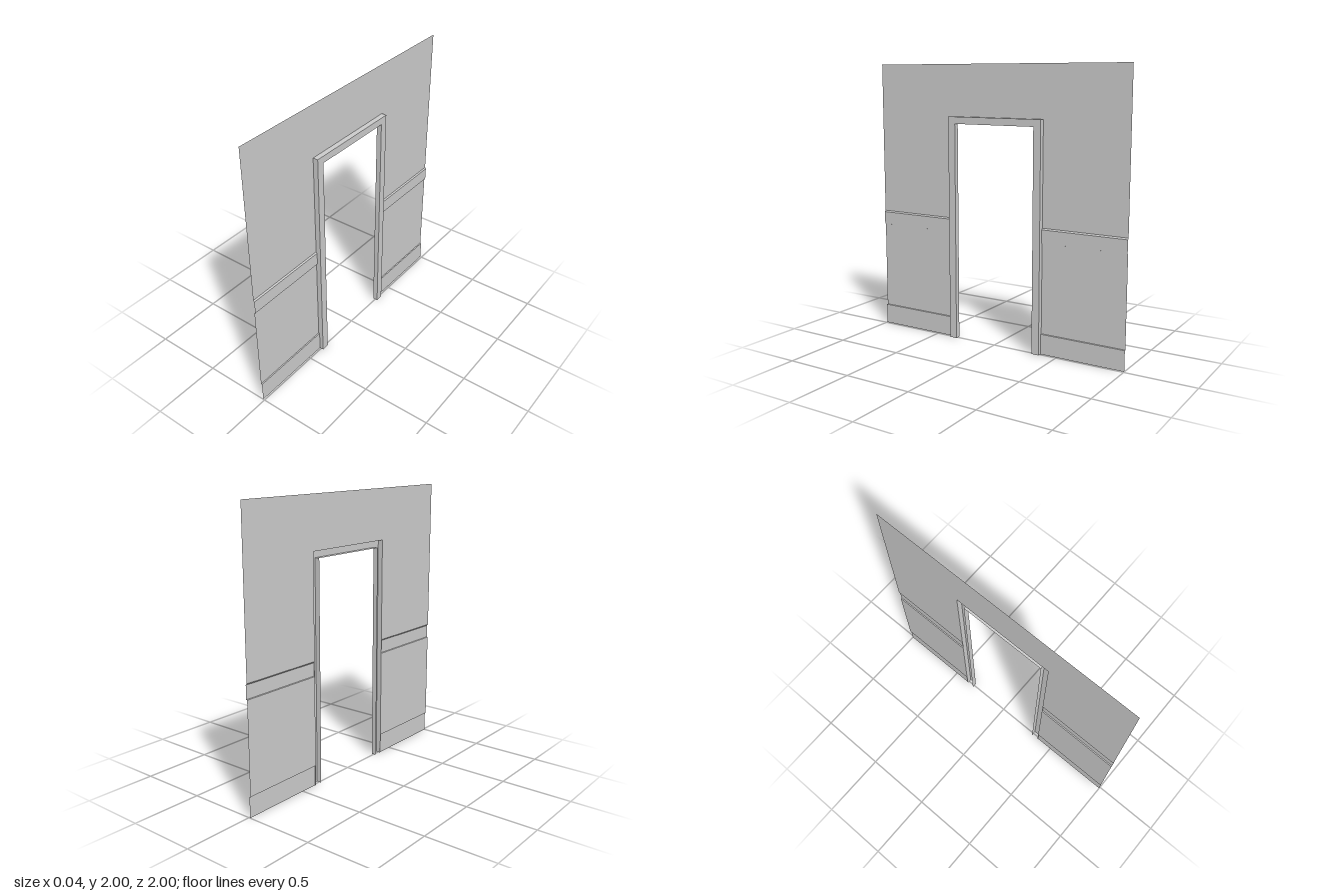
import * as THREE from 'three';

const BACK = -0.019, TRIM = -0.011, FRONT = 0.018;   // depths along x
const OPEN = 0.318, CASING = 0.374;                  // half widths of opening and casing
const HEAD = 1.582, CASING_TOP = 1.632;

const material = new THREE.MeshStandardMaterial({
  color: 0xcccccc, side: THREE.DoubleSide, flatShading: true,
});

// Open sheet joining successive rows of [x, y, z] points
function sheet(name, rows) {
  const points = [];
  for (let i = 0; i + 1 < rows.length; i++) {
    for (let j = 0; j + 1 < rows[i].length; j++) {
      const a = rows[i][j], b = rows[i][j + 1];
      const c = rows[i + 1][j + 1], d = rows[i + 1][j];
      points.push(...a, ...b, ...c, ...a, ...c, ...d);
    }
  }
  const geometry = new THREE.BufferGeometry();
  geometry.setAttribute('position', new THREE.Float32BufferAttribute(points, 3));
  geometry.computeVertexNormals();
  const mesh = new THREE.Mesh(geometry, material);
  mesh.name = name;
  return mesh;
}

// Extend a vertical [x, y] profile from z0 to z1
function panel(name, profile, z0, z1) {
  return sheet(name, [z0, z1].map((z) => profile.map(([x, y]) => [x, y, z])));
}

export function createModel() {
  const model = new THREE.Group();
  model.name = 'doorwayWall';

  // Side walls: baseboard and chair rail step out of a single sheet
  const wallProfile = [
    [TRIM, 0], [TRIM, 0.145], [BACK, 0.147],
    [BACK, 0.79], [TRIM, 0.792], [TRIM, 0.885], [BACK, 0.895],
    [BACK, CASING_TOP], [BACK, 2],
  ];
  model.add(panel('leftWall', wallProfile, CASING, 1));
  model.add(panel('rightWall', wallProfile, -1, -CASING));

  // Wall above the doorway
  model.add(panel('upperWall', [[BACK, CASING_TOP], [BACK, 2]], -CASING, CASING));

  // Door casing: a channel, open at the back, mitred around the opening
  const channel = [
    [BACK, CASING, CASING_TOP], [FRONT, CASING, CASING_TOP],
    [FRONT, OPEN, HEAD], [BACK, OPEN, HEAD],
  ];
  const corners = [[1, 0], [1, 1], [-1, 1], [-1, 0]];
  model.add(sheet('doorCasing', corners.map(([side, up]) =>
    channel.map(([x, half, top]) => [x, top * up, half * side]))));

  return model;
}
